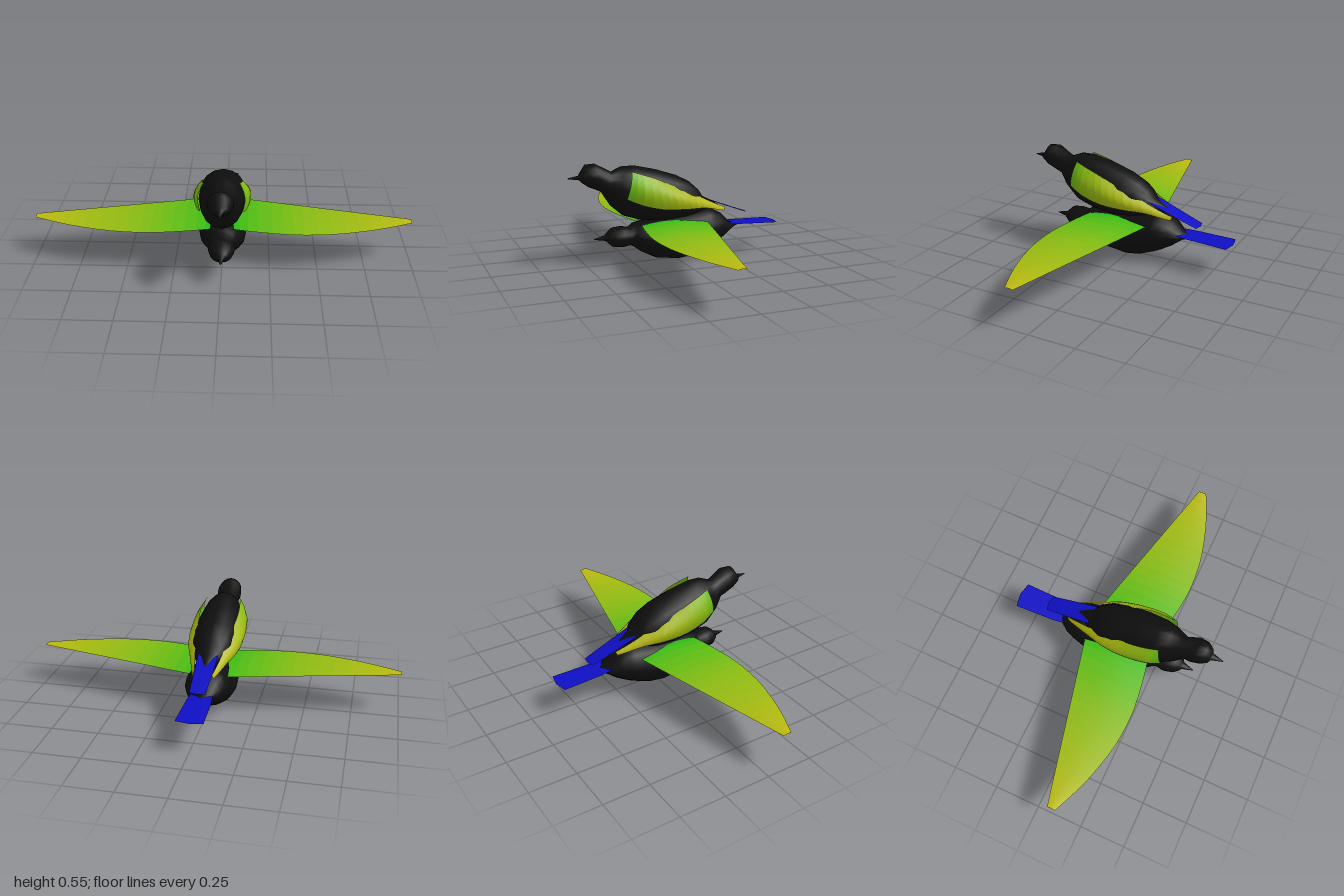
import * as THREE from 'three';

const BLACK = 0x0e0e0e, BLUE = 0x0f0fc4;
const GREEN = new THREE.Color(0x10bc14), YELLOW = new THREE.Color(0xbeb810);

// Skin through rows of points; closed rows form a tube
function loft(rows, closed) {
  const n = rows[0].length, idx = [], last = closed ? n : n - 1;
  for (let i = 0; i < rows.length - 1; i++) {
    for (let j = 0; j < last; j++) {
      const a = i * n + j, b = i * n + (j + 1) % n;
      idx.push(a, b, a + n, b, b + n, a + n);
    }
  }
  const g = new THREE.BufferGeometry();
  g.setAttribute('position', new THREE.Float32BufferAttribute(rows.flat(2), 3));
  g.setIndex(idx);
  g.computeVertexNormals();
  return g;
}

function mesh(name, geometry, color, open) {
  const m = new THREE.Mesh(geometry, new THREE.MeshStandardMaterial({ color }));
  if (open) m.material.side = THREE.DoubleSide;
  m.name = name;
  return m;
}

// Body from slices [zTop, yTop, zBottom, yBottom, halfWidth], beak to rump
function body(slices) {
  const rows = slices.map(([zt, yt, zb, yb, w]) => Array.from({ length: 16 }, (_, k) => {
    const a = k / 16 * Math.PI * 2, c = Math.cos(a) / 2;
    return [w * Math.sin(a), (yt + yb) / 2 + c * (yt - yb), (zt + zb) / 2 + c * (zt - zb)];
  }));
  return mesh('body', loft(rows, true), BLACK);
}

// Wing shaded from green to yellow, one band per pair of rows
function wing(name, rows, side, shade) {
  const g = new THREE.Group();
  g.name = name;
  for (let i = 0; i < rows.length - 1; i++) {
    const color = GREEN.clone().lerp(YELLOW, shade((i + 0.5) / (rows.length - 1)));
    const pair = rows.slice(i, i + 2).map(r => r.map(([x, y, z]) => [x * side, y, z]));
    // mirrored bands are reversed so both wings face outward
    g.add(mesh('wingBand', loft(side > 0 ? pair : pair.reverse(), false), color, true));
  }
  return g;
}

// Flat tail from rows [z, y, halfWidth], its end pushed back in the middle
function tail(keys, point) {
  const rows = keys.map(([z, y, w], i) => [-1, 0, 1].map(s =>
    [s * w, y, z - (i === keys.length - 1 && s === 0 ? point : 0)]));
  return mesh('tail', loft(rows, false), BLUE, true);
}

function flyingBird() {
  const bird = new THREE.Group();
  bird.name = 'flyingBird';
  bird.add(body([
    [0.46, 0.146, 0.142, 0.002], [0.40, 0.16, 0.132, 0.02], [0.39, 0.17, 0.125, 0.035],
    [0.36, 0.197, 0.097, 0.058], [0.31, 0.202, 0.09, 0.07], [0.265, 0.195, 0.098, 0.063],
    [0.24, 0.215, 0.085, 0.075], [0.2, 0.223, 0.055, 0.1], [0.12, 0.238, 0.015, 0.122],
    [0, 0.255, 0, 0.134], [-0.08, 0.262, 0.01, 0.131], [-0.17, 0.27, 0.045, 0.12],
    [-0.21, 0.26, 0.065, 0.11], [-0.265, 0.23, 0.097, 0.088], [-0.32, 0.175, 0.14, 0.045],
    [-0.385, 0.165, 0.162, 0.003],
  ].map(([z, t, b, w]) => [z, t, z, b, w])));
  bird.add(tail([[-0.25, 0.175, 0.05], [-0.36, 0.171, 0.065], [-0.585, 0.163, 0.072]], 0.014));

  // Spread wings: leading edge is a curve, trailing edge is straight
  const edge = new THREE.SplineCurve([[0.06, 0.215], [0.15, 0.235], [0.3, 0.258], [0.42, 0.265],
    [0.58, 0.252], [0.75, 0.212], [0.88, 0.167], [1, 0.115]].map(p => new THREE.Vector2(...p)));
  const rows = edge.getPoints(16).map(({ x, y: lead }) => {
    const trail = 0.07 - (1 - x) * 0.239;
    return Array.from({ length: 7 }, (_, k) => {
      const t = k / 6;
      return [x, 0.211 + 0.017 * (1 - x * 0.8) * Math.sin(Math.PI * t), trail + (lead - trail) * t];
    }).reverse();
  });
  // rows run outward, points run front to back
  const outward = rows.map(r => [...r].reverse()).reverse();
  bird.add(wing('leftWing', outward, 1, t => 1 - t), wing('rightWing', outward, -1, t => 1 - t));
  return bird;
}

function perchedBird() {
  const bird = new THREE.Group();
  bird.name = 'perchedBird';
  bird.add(body([
    [0.594, 0.477, 0.594, 0.473, 0.002], [0.535, 0.487, 0.53, 0.463, 0.02],
    [0.527, 0.5, 0.52, 0.45, 0.04], [0.497, 0.543, 0.485, 0.425, 0.06],
    [0.45, 0.545, 0.43, 0.402, 0.068], [0.36, 0.497, 0.415, 0.39, 0.055],
    [0.3, 0.523, 0.37, 0.32, 0.085], [0.235, 0.523, 0.3, 0.26, 0.11],
    [0.12, 0.497, 0.2, 0.228, 0.124], [0, 0.458, 0.08, 0.215, 0.125],
    [-0.075, 0.42, -0.03, 0.22, 0.11], [-0.12, 0.38, -0.11, 0.24, 0.085],
    [-0.15, 0.335, -0.17, 0.265, 0.05], [-0.23, 0.295, -0.23, 0.28, 0.008],
  ]));
  bird.add(tail([[-0.1, 0.345, 0.055], [-0.25, 0.288, 0.05], [-0.405, 0.231, 0.042]], 0.01));

  // Folded wings: upper edge, lower edge [x, y, z] and outward bulge, front to back
  const keys = [
    [[0.09, 0.505, 0.275], [0.105, 0.365, 0.31], 0.02],
    [[0.1, 0.487, 0.22], [0.125, 0.33, 0.23], 0.03],
    [[0.105, 0.463, 0.15], [0.132, 0.302, 0.12], 0.03],
    [[0.1, 0.43, 0.08], [0.132, 0.295, 0.03], 0.03],
    [[0.095, 0.39, -0.01], [0.12, 0.29, -0.05], 0.025],
    [[0.078, 0.348, -0.105], [0.1, 0.286, -0.13], 0.012],
    [[0.055, 0.29, -0.225], [0.07, 0.263, -0.225], 0.004],
    [[0.045, 0.272, -0.272], [0.055, 0.253, -0.265], 0],
  ];
  const curve = n => new THREE.CatmullRomCurve3(keys.map(k => new THREE.Vector3(...k[n])));
  const top = curve(0), low = curve(1), N = 14;
  const rows = Array.from({ length: N + 1 }, (_, i) => {
    const u = i / N, f = u * (keys.length - 1), k = Math.min(Math.floor(f), keys.length - 2);
    const bulge = THREE.MathUtils.lerp(keys[k][2], keys[k + 1][2], f - k);
    return Array.from({ length: 7 }, (_, j) => {
      const p = top.getPoint(u).lerp(low.getPoint(u), j / 6);
      return [p.x + bulge * Math.sin(Math.PI * j / 6), p.y, p.z];
    });
  });
  const shade = t => Math.min(1, 0.12 + Math.sqrt(t) * 0.9);
  bird.add(wing('leftWing', rows, 1, shade), wing('rightWing', rows, -1, shade));
  return bird;
}

export function createModel() {
  const model = new THREE.Group();
  model.name = 'birdPair';
  model.add(flyingBird(), perchedBird());
  return model;
}
